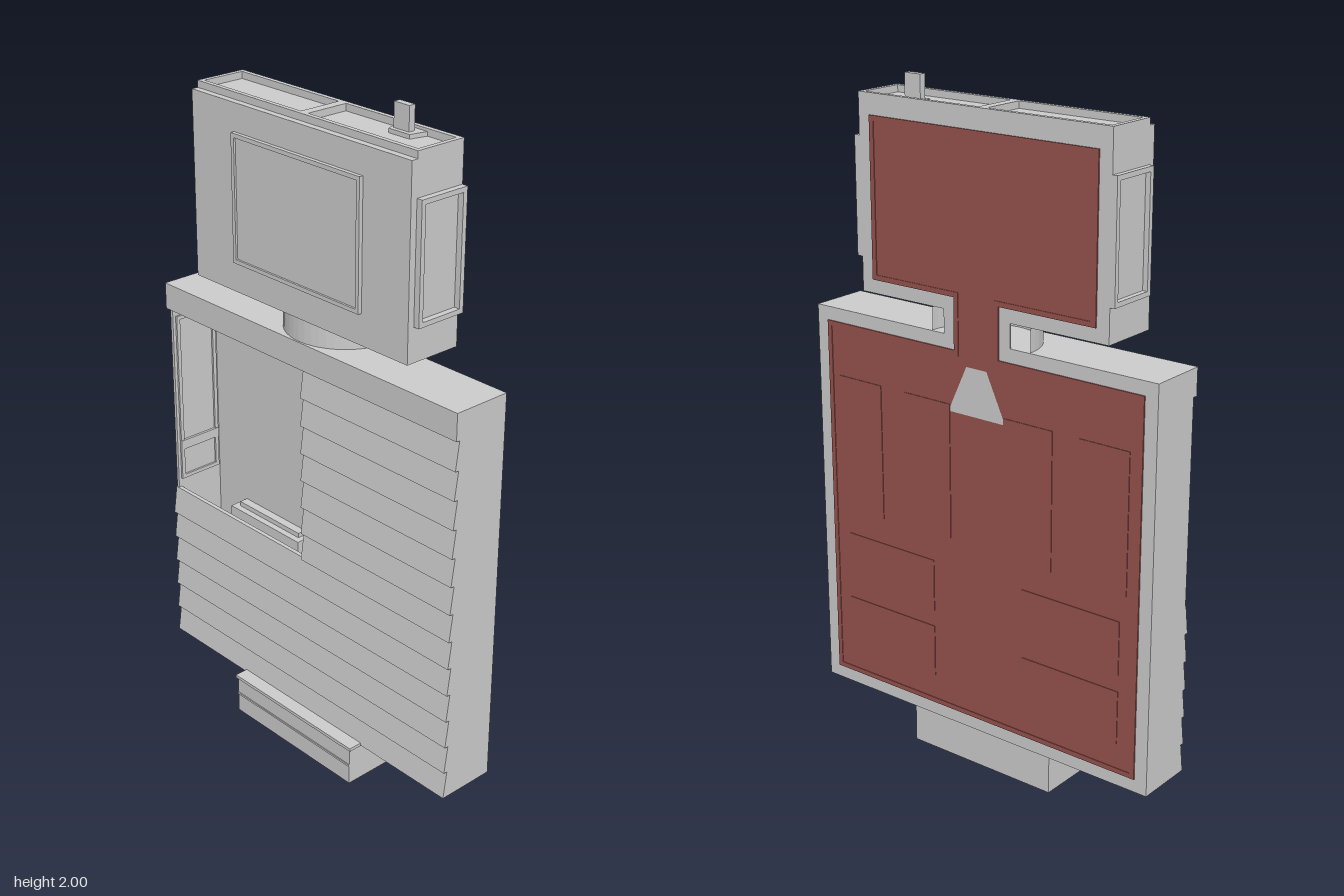
import * as THREE from 'three';

const grey = new THREE.MeshStandardMaterial({ color: 0xcccccc, flatShading: true, side: THREE.DoubleSide });
const red = new THREE.MeshStandardMaterial({ color: 0x96524c, flatShading: true, side: THREE.DoubleSide });

// Back face of the case
const BACK = -0.11;

function add(parent, name, geometry, material = grey) {
  const mesh = new THREE.Mesh(geometry, material);
  mesh.name = name;
  parent.add(mesh);
  return mesh;
}

// Box given by its limits on each axis
function box(parent, name, [x0, x1], [y0, y1], [z0, z1], material = grey) {
  const mesh = add(parent, name, new THREE.BoxGeometry(x1 - x0, y1 - y0, z1 - z0), material);
  mesh.position.set((x0 + x1) / 2, (y0 + y1) / 2, (z0 + z1) / 2);
  return mesh;
}

const shapeOf = (pts) => new THREE.Shape(pts.map(([x, y]) => new THREE.Vector2(x, y)));
const rect = (x0, x1, y0, y1) => [[x0, y0], [x1, y0], [x1, y1], [x0, y1]];

// Flat plate cut from an outline with holes
function plate(parent, name, pts, z, depth, material = grey, holes = []) {
  const shape = shapeOf(pts);
  shape.holes = holes.map(shapeOf);
  const mesh = add(parent, name, new THREE.ExtrudeGeometry(shape, { depth, bevelEnabled: false }), material);
  mesh.position.z = z;
  return mesh;
}

// Rectangular rim of width w
function rim(parent, name, x0, x1, y0, y1, w, z, depth, material = grey) {
  return plate(parent, name, rect(x0, x1, y0, y1), z, depth, material, [rect(x0 + w, x1 - w, y0 + w, y1 - w)]);
}

// Joined body, neck and head outline, drawn in by d
function outline(d, neck) {
  return [
    [-0.59 + d, 0.12 + d], [0.59 - d, 0.12 + d], [0.59 - d, 1.31 - d], [neck, 1.31 - d],
    [neck, 1.38 + d], [0.41 - d, 1.38 + d], [0.41 - d, 1.92 - d], [-0.435 + d, 1.92 - d],
    [-0.435 + d, 1.38 + d], [-neck, 1.38 + d], [-neck, 1.31 - d], [-0.59 + d, 1.31 - d],
  ];
}

function makeBody() {
  const body = new THREE.Group();
  body.name = 'body';
  for (const s of [-1, 1]) {
    box(body, 'sideWall', s < 0 ? [-0.59, -0.58] : [0.58, 0.59], [0.12, 1.31], [BACK, 0.055]);
  }
  box(body, 'floor', [-0.59, 0.59], [0.12, 0.13], [BACK, 0.055]);
  box(body, 'roof', [-0.59, 0.59], [1.3, 1.31], [BACK, 0.07]);
  box(body, 'topBand', [-0.59, 0.59], [1.23, 1.31], [0.055, 0.07]);

  // Overlapping siding: seven half-width boards above six full ones
  const count = 13, step = (1.23 - 0.12) / count;
  for (let i = 0; i < count; i++) {
    const x0 = i < 6 ? -0.59 : 0;
    const section = shapeOf([[-0.045, 0], [-0.07, 0], [-0.058, step], [-0.045, step]]);
    const geo = new THREE.ExtrudeGeometry(section, { depth: 0.59 - x0, bevelEnabled: false });
    const board = add(body, 'sidingBoard', geo.rotateY(Math.PI / 2));
    board.position.set(x0, 0.12 + i * step, 0);
  }

  // Fittings inside the open bay
  box(body, 'bayLedge', [-0.47, -0.16], [0.5, 0.57], [BACK, -0.06]);
  box(body, 'bayLedgeLip', [-0.45, -0.18], [0.57, 0.585], [BACK, -0.08]);
  const bayRim = rim(body, 'bayWallRim', -0.045, 0.1, 0.66, 1.2, 0.012, 0, 0.006);
  bayRim.rotation.y = Math.PI / 2;
  bayRim.position.set(-0.58, 0, 0);
  box(body, 'bayWallBar', [-0.58, -0.572], [0.76, 0.79], [-0.1, 0.045]);
  return body;
}

function makeHead() {
  const head = new THREE.Group();
  head.name = 'head';
  box(head, 'headCase', [-0.435, 0.41], [1.38, 1.92], [BACK, 0.07]);
  rim(head, 'screenBezel', -0.26, 0.24, 1.47, 1.84, 0.012, 0.07, 0.012);
  box(head, 'screen', [-0.248, 0.228], [1.482, 1.828], [0.07, 0.076]);

  // Rims round the two trays on top
  for (const [x0, x1] of [[-0.435, -0.015], [-0.015, 0.41]]) {
    const tray = rim(head, 'topTrayRim', x0, x1, -0.05, 0.11, 0.014, 0, 0.02);
    tray.rotation.x = -Math.PI / 2;
    tray.position.y = 1.92;
  }
  // Rims on both sides
  for (const x of [-0.45, 0.41]) {
    const side = rim(head, 'sideRim', -0.05, 0.11, 1.48, 1.82, 0.014, 0, x < 0 ? 0.015 : 0.018);
    side.rotation.y = Math.PI / 2;
    side.position.x = x;
  }
  // Aerial on a tapered foot
  const foot = plate(head, 'aerialFoot', [[0.19, 0.11], [0.21, 0.045], [0.285, 0.045], [0.3, 0.11]], 0, 0.012);
  foot.rotation.x = -Math.PI / 2;
  foot.position.y = 1.92;
  box(head, 'aerial', [0.215, 0.27], [1.92, 2.0], [-0.078, -0.058]);
  return head;
}

function makeBack() {
  const back = new THREE.Group();
  back.name = 'back';
  const patch = [[-0.1, 1.09], [0.1, 1.09], [0.035, 1.23], [-0.035, 1.23]];
  plate(back, 'backPlate', outline(0, 0.115), BACK, 0.003, grey, [patch]);
  plate(back, 'backPanel', outline(0.04, 0.077), BACK - 0.002, 0.002, red, [patch]);
  plate(back, 'panelEdge', outline(0.04, 0.077), BACK - 0.004, 0.002, red, [outline(0.055, 0.062)]);
  plate(back, 'patchOuter', patch, BACK - 0.002, 0.002);
  plate(back, 'patchInner', patch, BACK, 0.003, red);

  // Raised panels, mirrored left and right
  const panels = [[0.35, 0.51, 0.7, 1.11], [0.095, 0.26, 0.7, 1.11], [0.16, 0.49, 0.46, 0.62], [0.16, 0.49, 0.25, 0.41]];
  for (const [x0, x1, y0, y1] of panels) {
    for (const s of [-1, 1]) {
      box(back, 'raisedPanel', s > 0 ? [x0, x1] : [-x1, -x0], [y0, y1], [BACK - 0.004, BACK - 0.001], red);
    }
  }
  return back;
}

function makeStand() {
  const stand = new THREE.Group();
  stand.name = 'stand';
  // Hollow plinth, open underneath
  box(stand, 'standFront', [-0.25, 0.25], [0, 0.125], [0.1, 0.108]);
  box(stand, 'standBack', [-0.25, 0.25], [0, 0.125], [-0.1, -0.092]);
  for (const x of [-0.25, 0.242]) box(stand, 'standSide', [x, x + 0.008], [0, 0.125], [-0.1, 0.108]);
  box(stand, 'standTop', [-0.256, 0.256], [0.117, 0.127], [-0.1, 0.112]);
  box(stand, 'standBoard', [-0.25, 0.25], [0.06, 0.066], [0.105, 0.111]);
  return stand;
}

export function createModel() {
  const model = new THREE.Group();
  model.name = 'model';
  model.add(makeBody(), makeHead(), makeBack(), makeStand());
  // Half-round neck between body and head
  const neck = add(model, 'neck', new THREE.CylinderGeometry(0.17, 0.17, 0.07, 24, 1, true, -Math.PI / 2, Math.PI));
  neck.position.set(-0.01, 1.345, -0.105);
  return model;
}
